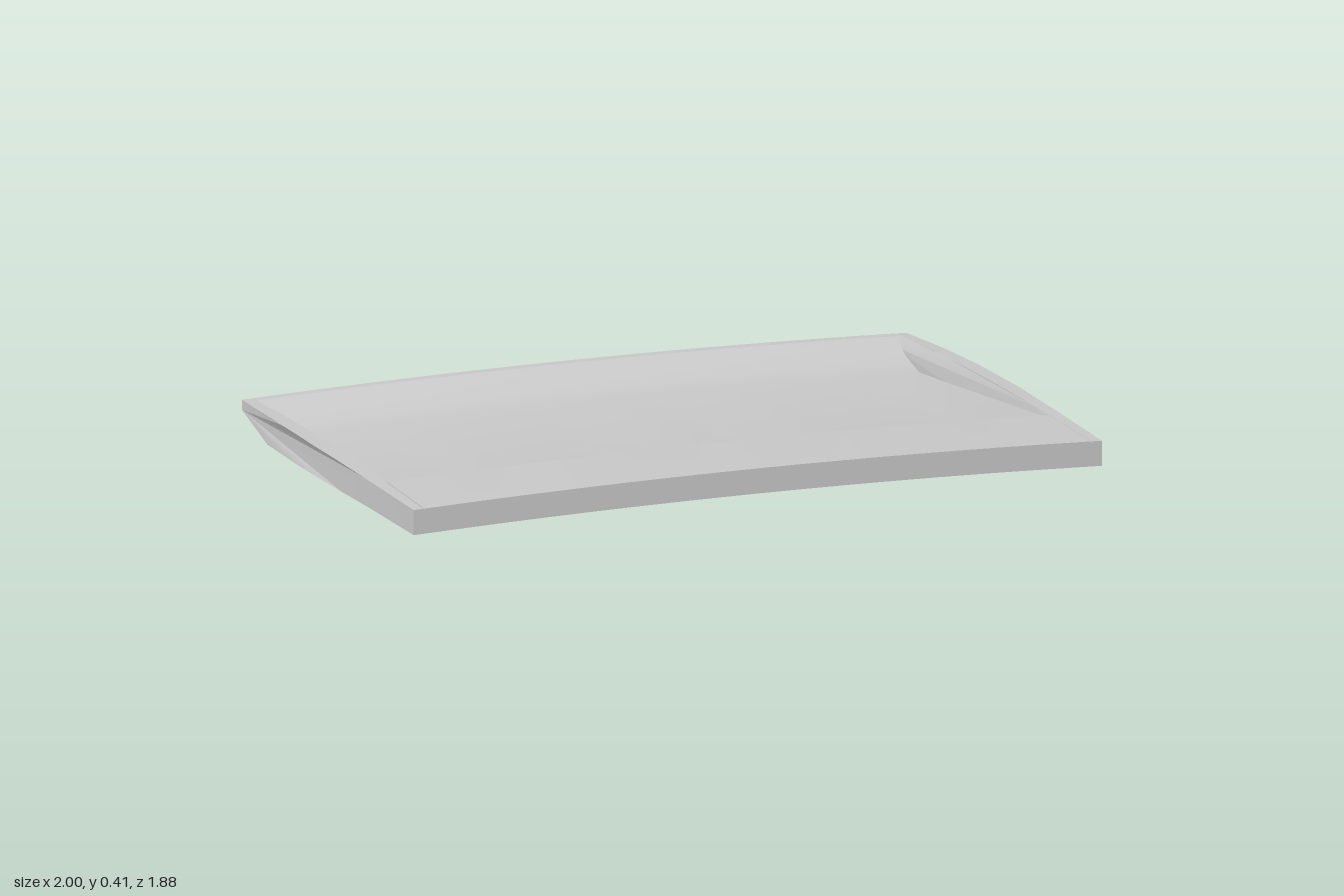
import * as THREE from 'three';
import { toCreasedNormals } from 'three/addons/utils/BufferGeometryUtils.js';

// Side profile lines as [z, y], front to back
const TOP = [[0.94, 0.39], [0.42, 0.3], [0.1, 0.243], [-0.3, 0.166], [-0.6, 0.104], [-0.94, 0.029]];
const BOTTOM = [[0.94, 0.315], [0.48, 0.23], [0, 0.136], [-0.62, 0.014], [-0.94, -0.001]];

// Height of a profile line at a given z
function heightAt(line, z) {
  for (let i = 1; i < line.length; i++) {
    const [z0, y0] = line[i - 1], [z1, y1] = line[i];
    if (z >= z1 || i === line.length - 1) return y0 + ((y1 - y0) * (z0 - z)) / (z0 - z1);
  }
}

// Gentle crown across the width, and outer plan outline tapering to the back
const crown = (x) => 0.021 * (1 - x * x);
const outerX = (z) => (z > 0.2 ? 1 : 1 - 0.027 * (0.2 - z) ** 2);

// Sweeps a closed [z, y] section across the width; xAt(u, z, y) places each vertex, u = 0..1
function sweep(name, section, steps, xAt, material) {
  const shape = new THREE.Shape(section.map(([z, y]) => new THREE.Vector2(-z, y)));
  const geometry = new THREE.ExtrudeGeometry(shape, { depth: 1, steps, bevelEnabled: false });
  const p = geometry.attributes.position;
  for (let i = 0; i < p.count; i++) {
    const z = -p.getX(i), y = p.getY(i);
    const x = xAt(p.getZ(i), z, y);
    p.setXYZ(i, x, y + crown(x), z);
  }
  const mesh = new THREE.Mesh(toCreasedNormals(geometry, 0.25), material);
  mesh.name = name;
  return mesh;
}

export function createModel() {
  const group = new THREE.Group();
  group.name = 'slopedPanel';
  const material = new THREE.MeshStandardMaterial({ color: 0xcccccc, side: THREE.DoubleSide });

  // Side rims: outer face follows the outline, inner face leans outward at the top
  const stations = [0.94, 0.7, 0.42, 0.1, -0.1, -0.3, -0.45, -0.6, -0.78, -0.94];
  const rimSection = [
    ...stations.map((z) => [z, heightAt(TOP, z)]),
    ...BOTTOM.concat([[0.2, heightAt(BOTTOM, 0.2)], [-0.3, heightAt(BOTTOM, -0.3)]])
      .sort((a, b) => a[0] - b[0]),
  ];
  const innerX = (z, y) => {
    const lo = heightAt(BOTTOM, z);
    const t = (y - lo) / (heightAt(TOP, z) - lo);
    return 0.933 + 0.02 * z + 0.02 * t;
  };
  group.add(sweep('leftRim', rimSection, 1,
    (u, z, y) => THREE.MathUtils.lerp(innerX(z, y), outerX(z), u), material));
  group.add(sweep('rightRim', rimSection, 1,
    (u, z, y) => -THREE.MathUtils.lerp(outerX(z), innerX(z, y), u), material));

  // Centre panel: front wedge, diagonal sheet from top to bottom, curved rear wedge
  const panelSection = [
    [0.94, 0.39], [0.53, heightAt(TOP, 0.53)], [0.53, 0.311],
    [-0.65, 0.02], [-0.72, 0.0205], [-0.79, 0.024], [-0.85, 0.031], [-0.9, 0.036],
    [-0.94, 0.029], [-0.94, -0.001], [-0.62, 0.014],
    [0.55, 0.303], [0.9, 0.318], [0.94, 0.315],
  ];
  group.add(sweep('recessedPanel', panelSection, 16,
    (u, z) => (2 * u - 1) * (0.95 + 0.02 * z), material));

  return group;
}
